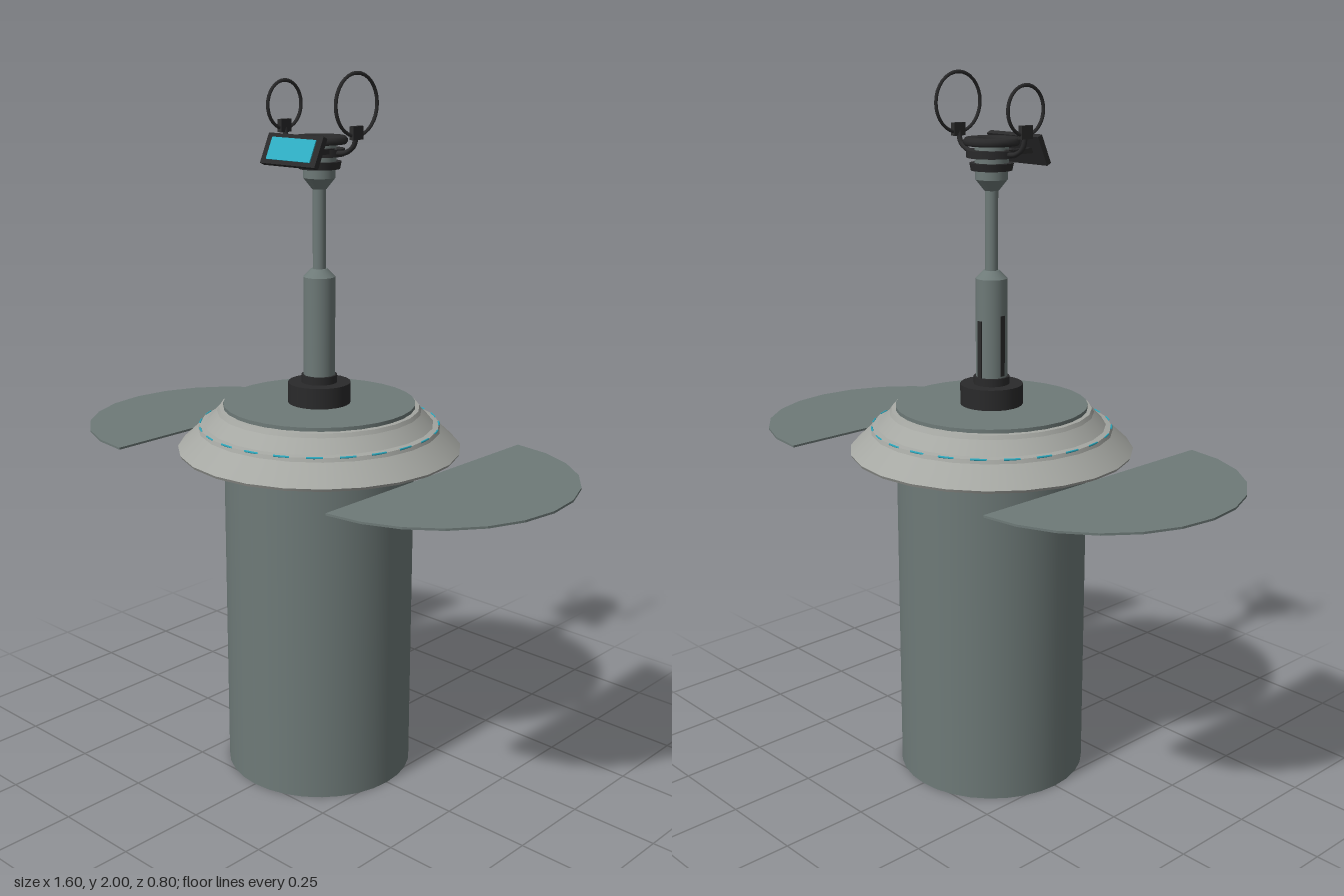
import * as THREE from 'three';

const mat = (name, color, side = THREE.FrontSide) => {
  const m = new THREE.MeshStandardMaterial({ color, side });
  m.name = name;
  return m;
};

export function createModel() {
  const model = new THREE.Group();
  model.name = 'hatchedColumn';

  const bodyGrey = mat('bodyGrey', 0x6e7a78);
  const collarGrey = mat('collarGrey', 0xa6a8a3, THREE.DoubleSide);
  const black = mat('black', 0x2a2a2b);
  const bottomBlack = mat('bottomBlack', 0x080808);
  const teal = mat('teal', 0x2fb0c6);

  const add = (name, geometry, material, x = 0, y = 0, z = 0, parent = model) => {
    const mesh = new THREE.Mesh(geometry, material);
    mesh.name = name;
    mesh.position.set(x, y, z);
    parent.add(mesh);
    return mesh;
  };
  // Upright cylinder or cone given by its bottom and top heights
  const post = (name, rBottom, rTop, y0, y1, material, sides = 24) =>
    add(name, new THREE.CylinderGeometry(rTop, rBottom, y1 - y0, sides), material, 0, (y0 + y1) / 2);

  // Main column with a dark underside
  add('column', new THREE.CylinderGeometry(0.27, 0.27, 1.095, 32),
    [bodyGrey, bodyGrey, bottomBlack], 0, 0.5475, 0);

  // Hollow flared collar: each band is its own lathe so the steps stay crisp
  const collar = [[0.396, 0.96], [0.4, 0.968], [0.342, 1.022], [0.338, 1.033],
    [0.322, 1.036], [0.288, 1.072], [0.282, 1.083], [0.268, 1.085]];
  for (let i = 0; i < collar.length - 1; i++) {
    const band = [collar[i], collar[i + 1]].map(([r, y]) => new THREE.Vector2(r, y));
    add('collarBand', new THREE.LatheGeometry(band, 24), collarGrey);
  }

  // Broken light line around the collar step
  for (let i = 0; i < 24; i++) {
    const dash = add('collarLight', new THREE.TorusGeometry(0.337, 0.003, 4, 3, Math.PI / 24),
      teal, 0, 1.033, 0);
    dash.rotation.set(Math.PI / 2, 0, (i * Math.PI) / 12);
  }

  // Half-round hatch leaves lying open on both sides
  for (const side of [-1, 1]) {
    const shape = new THREE.Shape();
    for (let i = 0; i <= 12; i++) {
      const a = -Math.PI / 2 + (i * Math.PI) / 12;
      const x = Math.cos(a) * 0.4, y = Math.sin(a) * 0.4;
      if (i) shape.lineTo(x, y); else shape.moveTo(x, y);
    }
    const leaf = add(side > 0 ? 'leftHatch' : 'rightHatch',
      new THREE.ExtrudeGeometry(shape, { depth: 0.006, bevelEnabled: false }),
      bodyGrey, side * 0.4, 0.957, 0);
    leaf.rotation.set(-Math.PI / 2, 0, side > 0 ? 0 : Math.PI);
  }

  // Telescopic mast
  post('mastBase', 0.088, 0.088, 1.095, 1.153, black);
  post('mastCollar', 0.05, 0.05, 1.153, 1.175, black);
  post('lowerMast', 0.044, 0.044, 1.175, 1.45, bodyGrey);
  post('mastShoulder', 0.044, 0.022, 1.45, 1.472, bodyGrey);
  post('upperMast', 0.018, 0.018, 1.472, 1.695, bodyGrey, 16);
  add('mastStripSide', new THREE.BoxGeometry(0.006, 0.17, 0.014), black, -0.043, 1.265, 0);
  add('mastStripBack', new THREE.BoxGeometry(0.014, 0.17, 0.006), black, 0, 1.25, -0.043);

  // Head: flared neck and stacked discs, open on top
  post('neck', 0.02, 0.044, 1.688, 1.718, bodyGrey);
  post('neckBand', 0.044, 0.044, 1.718, 1.742, bodyGrey);
  post('lowerDisc', 0.056, 0.06, 1.742, 1.762, black);
  post('headCore', 0.046, 0.046, 1.762, 1.812, bodyGrey);
  post('middleDisc', 0.068, 0.068, 1.776, 1.796, black);
  const rim = [[0.034, 1.808], [0.072, 1.808], [0.076, 1.813], [0.076, 1.822],
    [0.07, 1.829], [0.042, 1.829], [0.034, 1.822], [0.034, 1.808]];
  add('headRim', new THREE.LatheGeometry(rim.map(([r, y]) => new THREE.Vector2(r, y)), 24), black);

  // Tilted screen on two arms
  const screen = new THREE.Group();
  screen.name = 'screen';
  screen.position.set(0, 1.795, 0.1);
  screen.rotation.x = -0.43;
  model.add(screen);
  add('screenCase', new THREE.BoxGeometry(0.2, 0.085, 0.016), black, 0, 0, 0, screen);
  add('screenGlass', new THREE.BoxGeometry(0.16, 0.062, 0.004), teal, 0, 0, 0.009, screen);
  for (const x of [-0.055, 0.055]) {
    add('screenArm', new THREE.BoxGeometry(0.014, 0.014, 0.09), black, x, 1.792, 0.05);
  }

  // Hoops on curved stems, the left one larger
  for (const [name, side, x, y, r] of [
    ['leftHoop', 1, 0.133, 1.915, 0.08], ['rightHoop', -1, 0.13, 1.905, 0.064]]) {
    const hoop = new THREE.Group();
    hoop.name = name;
    model.add(hoop);
    const ring = add('ring', new THREE.TorusGeometry(r, 0.005, 6, 32), black, side * x, y, 0, hoop);
    ring.rotation.y = Math.PI / 2;
    add('clip', new THREE.BoxGeometry(0.014, 0.035, 0.04), black, side * x, y - r + 0.008, 0, hoop);
    const path = new THREE.CatmullRomCurve3([[0.05, 1.786], [0.095, 1.79], [x - 0.01, 1.808],
      [x, y - r + 0.005]].map(([px, py]) => new THREE.Vector3(side * px, py, 0)));
    add('stem', new THREE.TubeGeometry(path, 12, 0.007, 8), black, 0, 0, 0, hoop);
  }

  return model;
}
